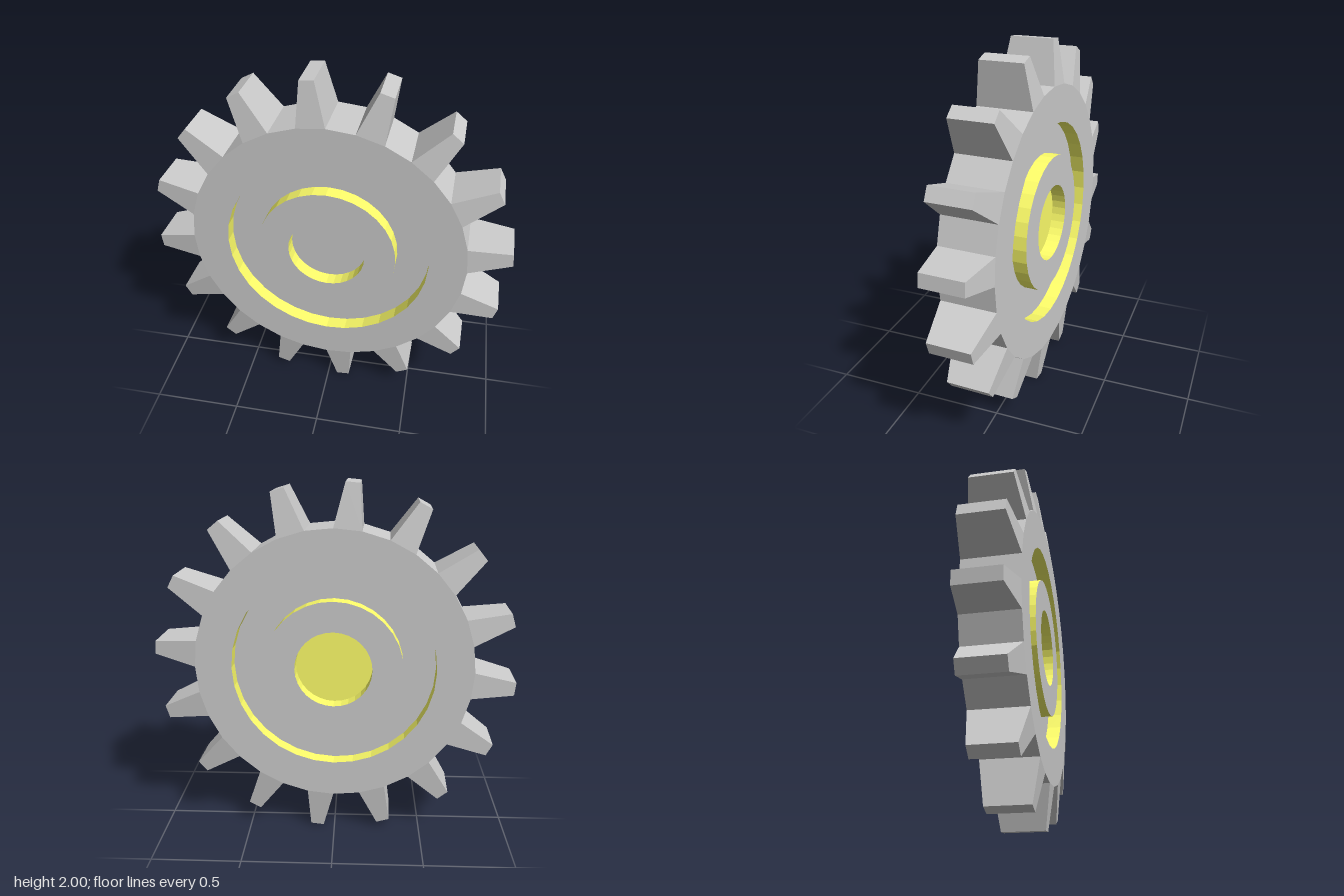
import * as THREE from 'three';

const TEETH = 16;
const HALF = 0.152;      // half thickness of the wheel
const TIP_HALF = 0.118;  // half thickness at the tooth tips
const ROOT_R = 0.77;
const TIP_R = 1.002;
const DEPTH = 0.08;      // depth of the recesses
const FLOOR = HALF - DEPTH;

const grey = new THREE.MeshStandardMaterial({ color: 0xcccccc, flatShading: true });
const yellow = new THREE.MeshStandardMaterial({ color: 0xffff6a, flatShading: true });

// Surface of revolution about z, facing the front
function ring(name, points, material) {
  const geometry = new THREE.LatheGeometry(points.map(([r, z]) => new THREE.Vector2(r, z)), TEETH * 2);
  geometry.rotateX(Math.PI / 2);
  const mesh = new THREE.Mesh(geometry, material);
  mesh.name = name;
  return mesh;
}

// One face of the wheel: flat rings, sunken groove, hub and central socket
function wheelFace(name, socketMaterial) {
  const face = new THREE.Group();
  face.name = name;
  face.add(
    ring('outerPlate', [[ROOT_R, HALF], [0.565, HALF]], grey),
    ring('grooveOuterWall', [[0.565, HALF], [0.565, FLOOR]], yellow),
    ring('grooveFloor', [[0.565, FLOOR], [0.385, FLOOR]], grey),
    ring('grooveInnerWall', [[0.385, FLOOR], [0.385, HALF]], yellow),
    ring('hubPlate', [[0.385, HALF], [0.215, HALF]], grey),
    ring('socketWall', [[0.215, HALF], [0.215, FLOOR]], yellow),
    ring('socketFloor', [[0.215, FLOOR], [0, FLOOR]], socketMaterial)
  );
  return face;
}

// Tapered teeth with the flat gaps between them
function toothedRim() {
  const positions = [];
  const quad = (a, b, c, d) => [a, b, c, a, c, d].forEach(p => positions.push(...p));
  const at = (r, angle, z) => [r * Math.cos(angle), r * Math.sin(angle), z];
  const step = Math.PI * 2 / TEETH;
  const tipHalfAngle = THREE.MathUtils.degToRad(2.15);
  for (let i = 0; i < TEETH; i++) {
    const start = i * step;
    const mid = start + step / 4;
    const end = start + step / 2;
    const next = start + step;
    // corners of each section: [front, back]
    const pair = (r, angle, h) => [at(r, angle, h), at(r, angle, -h)];
    const rootA = pair(ROOT_R, start, HALF);
    const tipA = pair(TIP_R, mid - tipHalfAngle, TIP_HALF);
    const tipB = pair(TIP_R, mid + tipHalfAngle, TIP_HALF);
    const rootB = pair(ROOT_R, end, HALF);
    const rootC = pair(ROOT_R, next, HALF);
    // flank, tip, flank and gap follow the outline
    const outline = [rootA, tipA, tipB, rootB, rootC];
    for (let k = 0; k < 4; k++) {
      const p = outline[k], q = outline[k + 1];
      quad(p[0], p[1], q[1], q[0]);
    }
    // sloping front and back of the tooth
    quad(rootA[0], tipA[0], tipB[0], rootB[0]);
    quad(rootB[1], tipB[1], tipA[1], rootA[1]);
  }
  const geometry = new THREE.BufferGeometry();
  geometry.setAttribute('position', new THREE.Float32BufferAttribute(positions, 3));
  geometry.computeVertexNormals();
  const mesh = new THREE.Mesh(geometry, grey);
  mesh.name = 'toothedRim';
  return mesh;
}

export function createModel() {
  const gear = new THREE.Group();
  gear.name = 'gear';
  const front = wheelFace('frontFace', grey);
  const back = wheelFace('backFace', yellow);
  back.rotation.y = Math.PI;
  gear.add(toothedRim(), front, back);
  gear.position.y = 1;
  gear.rotation.y = -0.0325; // slight turn about the vertical

  const model = new THREE.Group();
  model.name = 'gearWheel';
  model.add(gear);
  return model;
}
